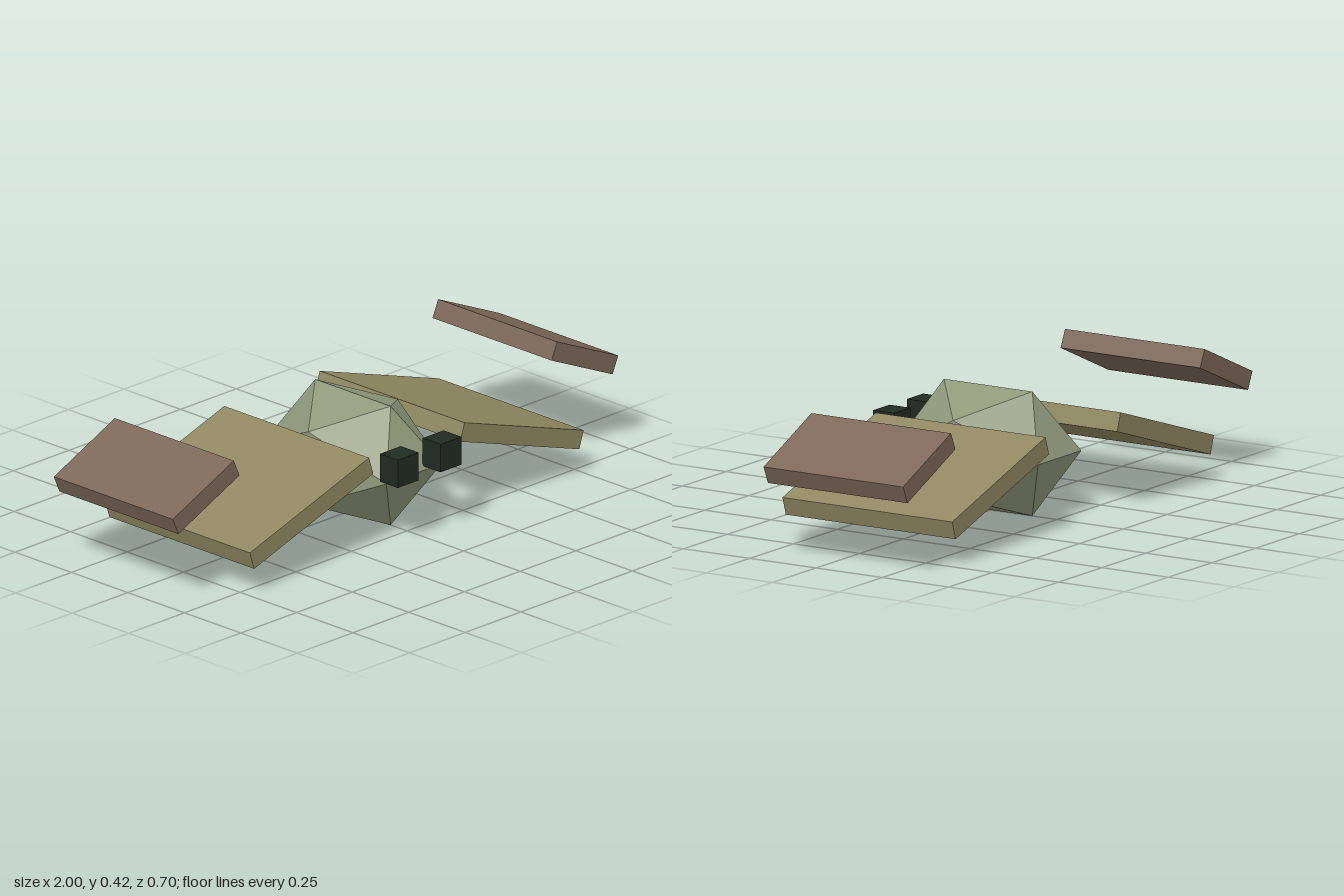
import * as THREE from 'three';

const mat = (name, color) => {
  const m = new THREE.MeshStandardMaterial({ color, flatShading: true });
  m.name = name;
  return m;
};

export function createModel() {
  const group = new THREE.Group();
  const sage = mat('sage body', 0x8f9a7b);
  const olive = mat('olive wing', 0x8f8861);
  const brown = mat('brown wing tip', 0x7d6859);
  const dark = mat('dark eye', 0x1f2b22);

  // Boxes rolled around z
  const addBox = (name, material, size, pos, roll = 0) => {
    const mesh = new THREE.Mesh(new THREE.BoxGeometry(...size), material);
    mesh.name = name;
    mesh.position.set(...pos);
    mesh.rotation.z = roll;
    group.add(mesh);
  };

  // Faceted body, stretched along z
  const bodyGeo = new THREE.IcosahedronGeometry(0.236, 0);
  bodyGeo.rotateY(Math.PI / 2);
  bodyGeo.scale(1, 1, 1.345);
  bodyGeo.computeVertexNormals();
  const body = new THREE.Mesh(bodyGeo, sage);
  body.name = 'body';
  body.position.set(0, 0.202, 0.01);
  group.add(body);

  // Mirrored eyes, inner wings and wing tips
  for (const [side, s] of [['left', 1], ['right', -1]]) {
    addBox(side + 'Eye', dark, [0.094, 0.094, 0.079], [s * 0.096, 0.26, 0.31]);
    addBox(side + 'InnerWing', olive, [0.562, 0.062, 0.641], [s * 0.472, 0.203, -0.028], s * -0.314);
    addBox(side + 'WingTip', brown, [0.3, 0.062, 0.527], [s * 0.85, 0.336, -0.065], s * -0.42);
  }
  return group;
}
